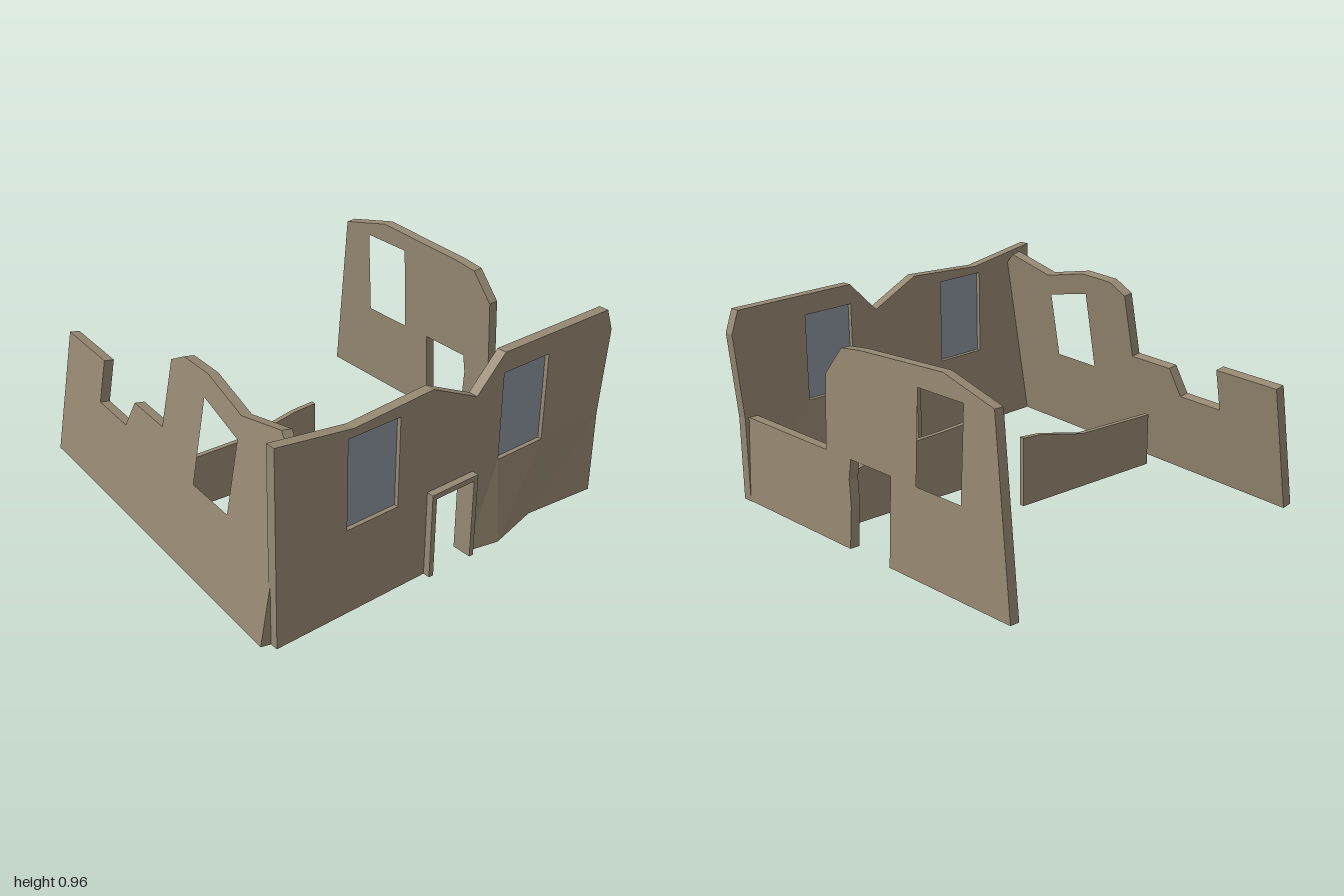
import * as THREE from 'three';
import { ConvexGeometry } from 'three/addons/geometries/ConvexGeometry.js';

const wallMat = new THREE.MeshStandardMaterial({ color: 0x968872, flatShading: true });
wallMat.name = 'stone';
const paneMat = new THREE.MeshStandardMaterial({ color: 0x87919b });
paneMat.name = 'glass';

const T = 0.05; // wall thickness
const toVec = (pts) => pts.map(([x, y]) => new THREE.Vector2(x, y));

// Flat slab cut from an outline, with optional holes
function slab(outline, depth, holes = []) {
  const shape = new THREE.Shape(toVec(outline));
  holes.forEach((h) => shape.holes.push(new THREE.Path(toVec(h))));
  return new THREE.ExtrudeGeometry(shape, { depth, bevelEnabled: false });
}

// Slab for a side wall: outline is given as [z, y], thickness runs to +x
function sideSlab(outline, holes = []) {
  const flip = (pts) => pts.map(([z, y]) => [-z, y]);
  return slab(flip(outline), T, holes.map(flip)).rotateY(Math.PI / 2);
}

function add(parent, name, geometry, material = wallMat) {
  const mesh = new THREE.Mesh(geometry, material);
  mesh.name = name;
  parent.add(mesh);
  return mesh;
}

export function createModel() {
  const ruin = new THREE.Group();
  ruin.name = 'ruinedHouse';

  // Front wall: broken top, window holes and door opening
  const front = new THREE.Group();
  front.name = 'frontWall';
  ruin.add(front);
  add(front, 'frontWallMain', slab([
    [-0.95, 0], [-0.12, 0], [-0.12, 0.415], [0.14, 0.415], [0.14, 0.425],
    [0.30, 0.425], [0.30, 0.86], [0.58, 0.86], [0.58, 0.425], [0.96, 0.425],
    [1.0, 0.85], [0.96, 0.96], [0.30, 0.96], [0.14, 0.80], [-0.12, 0.925],
    [-0.55, 0.90], [-0.95, 0.96],
  ], T, [[[-0.58, 0.425], [-0.30, 0.425], [-0.30, 0.86], [-0.58, 0.86]]])).position.z = 0.9;

  // Lower right of the front wall, its foot bent out and in
  const columns = [0.14, 0.30, 0.58, 0.96];
  const bend = [0, 0.035, -0.035, 0];
  const foot = new THREE.BoxGeometry(0.82, 0.425, T, 3, 1, 1);
  const p = foot.attributes.position;
  for (let i = 0; i < p.count; i++) {
    const c = Math.round((p.getX(i) / 0.82 + 0.5) * 3);
    const low = p.getY(i) < 0;
    p.setXYZ(i, columns[c], low ? 0 : 0.425, p.getZ(i) + 0.925 + (low ? bend[c] : 0));
  }
  foot.computeVertexNormals();
  add(front, 'frontWallFoot', foot);

  // Window panes set in the middle of the wall
  for (const side of [-1, 1]) {
    add(front, 'windowPane', new THREE.BoxGeometry(0.28, 0.435, 0.008), paneMat)
      .position.set(side * 0.44, 0.6425, 0.925);
  }

  // Door frame
  add(front, 'doorFrame', slab([
    [-0.13, 0], [-0.105, 0], [-0.105, 0.4], [0.118, 0.4],
    [0.118, 0], [0.142, 0], [0.142, 0.426], [-0.13, 0.426],
  ], 0.1)).position.z = 0.885;

  // Right-hand wall on -x, turned and leaning inward
  const rightWall = add(ruin, 'rightWall', sideSlab([
    [0.91, 0], [0.91, 0.87], [0.83, 0.95], [0.55, 0.885], [0.27, 0.95],
    [0.07, 0.945], [-0.03, 0.89], [-0.04, 0.56], [-0.30, 0.56], [-0.36, 0.42],
    [-0.62, 0.42], [-0.62, 0.635], [-0.99, 0.635], [-0.99, 0],
  ], [[[0.545, 0.425], [0.545, 0.775], [0.265, 0.84], [0.265, 0.425]]]));
  rightWall.rotation.set(0, THREE.MathUtils.degToRad(-5), THREE.MathUtils.degToRad(-10), 'YXZ');
  rightWall.position.set(-0.921, 0.009, 0);

  // Left-hand wall on +x, leaning slightly inward, with doorway and window
  const leftWall = add(ruin, 'leftWall', sideSlab([
    [0.9, 0], [0.9, 0.425], [0.31, 0.425], [0.31, 0.78], [0.2, 0.92],
    [0.08, 0.935], [-0.45, 0.96], [-0.75, 0.88], [-0.88, 0],
    [-0.135, 0], [-0.135, 0.425], [0.135, 0.425], [0.145, 0.33], [0.13, 0.2], [0.135, 0],
  ], [[[-0.3, 0.425], [-0.3, 0.86], [-0.575, 0.86], [-0.575, 0.425]]]).translate(-T, 0, 0));
  leftWall.rotation.z = THREE.MathUtils.degToRad(3);
  leftWall.position.set(0.96, 0.003, 0);

  // Bulge of the left wall in the front corner
  add(ruin, 'cornerBulge', new ConvexGeometry([
    [0.866, 0.2, 0.89], [0.895, 0.42, 0.9], [0.912, 0, 0.66],
    [0.912, 0, 0.9], [0.93, 0.2, 0.9],
  ].map((v) => new THREE.Vector3(...v))));

  // Low inner partitions, turned by five degrees
  const partitions = [
    [-0.76, -0.153, [[0, 0], [0.838, 0], [0.838, 0.35], [0.72, 0.34], [0.46, 0.28], [0, 0.27]]],
    [-0.02, 0.265, [[0, 0], [0.925, 0], [0.925, 0.23], [0.57, 0.32], [0.28, 0.33], [0, 0.35]]],
  ];
  for (const [x, z, outline] of partitions) {
    const wall = add(ruin, 'partition', slab(outline, 0.025));
    wall.rotation.y = THREE.MathUtils.degToRad(-5);
    wall.position.set(x, 0, z);
  }

  return ruin;
}
